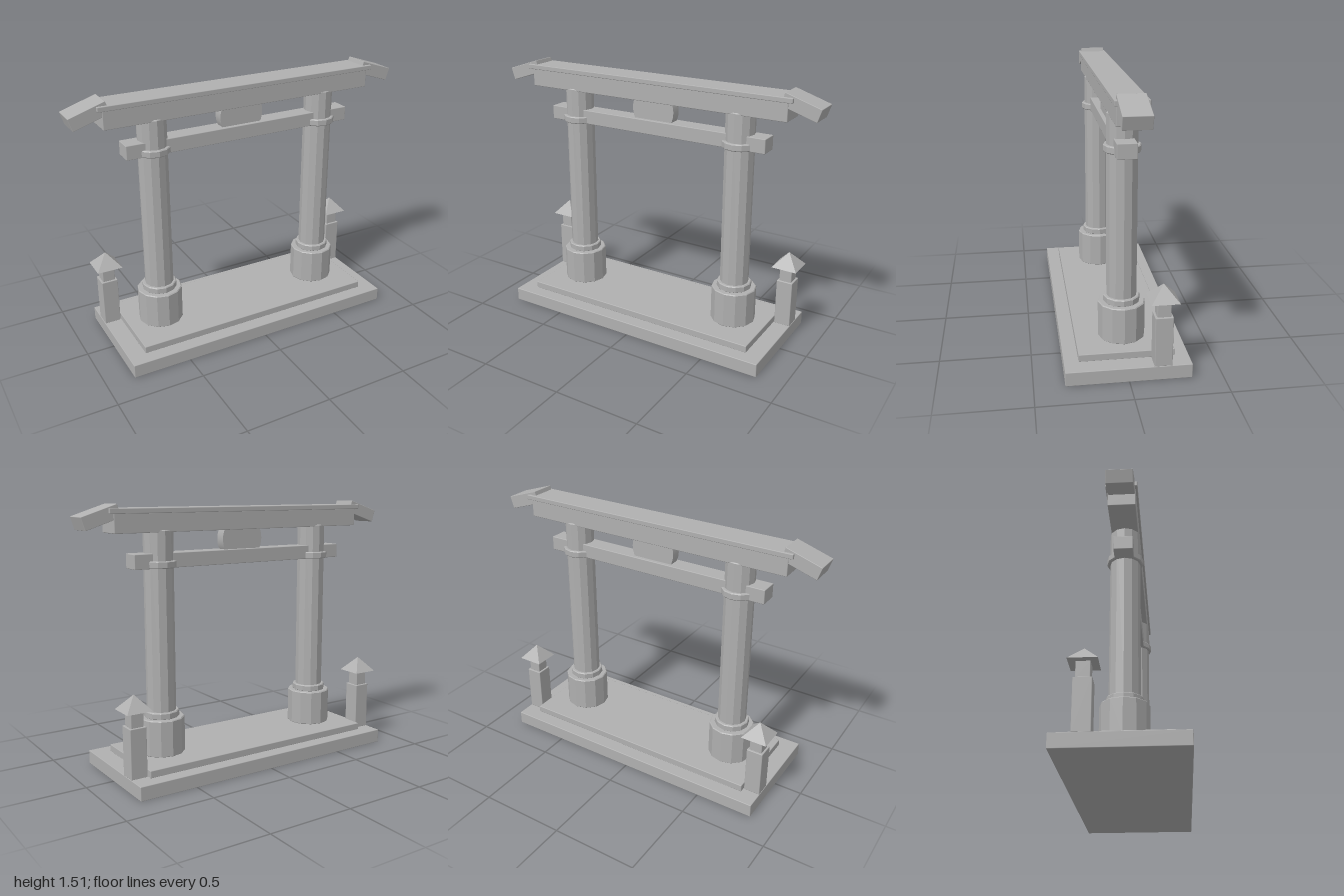
import * as THREE from 'three';
import { RoundedBoxGeometry } from 'three/addons/geometries/RoundedBoxGeometry.js';

export function createModel() {
  const model = new THREE.Group();
  model.name = 'gateway';
  const stone = new THREE.MeshStandardMaterial({ color: 0xb0b0b0 });
  stone.name = 'grey stone';

  const add = (name, geometry, x, y, z, parent = model) => {
    const mesh = new THREE.Mesh(geometry, stone);
    mesh.name = name;
    mesh.position.set(x, y, z);
    parent.add(mesh);
    return mesh;
  };

  // Box with a slight bevel, standing on height y0
  const block = (name, w, y0, y1, d, x = 0, z = 0, parent = model) =>
    add(name, new RoundedBoxGeometry(w, y1 - y0, d, 1, 0.004), x, (y0 + y1) / 2, z, parent);

  // Twelve-sided faceted drum with chamfered rims
  const drum = (name, r, y0, y1, x, parent, c = 0.005) => {
    const profile = [[0, y0], [r - c, y0], [r, y0 + c], [r, y1 - c], [r - c, y1], [0, y1]]
      .map(([px, py]) => new THREE.Vector2(px, py));
    const geometry = new THREE.LatheGeometry(profile, 12).toNonIndexed();
    geometry.computeVertexNormals();
    return add(name, geometry, x, 0, 0, parent);
  };

  // Stepped base
  block('baseSlab', 1.68, 0, 0.08, 0.672);
  block('upperStep', 1.48, 0.078, 0.12, 0.515);

  // Cross beams and roof cap
  block('lowerBeam', 1.405, 1.165, 1.247, 0.106);
  block('upperBeam', 1.645, 1.36, 1.465, 0.15);
  block('roofCap', 1.7, 1.462, 1.49, 0.172);

  // Round plaque held between the beams
  const plaque = new THREE.CylinderGeometry(0.134, 0.134, 0.06, 32);
  plaque.rotateX(Math.PI / 2);
  add('plaque', plaque, 0, 1.305, 0);

  for (const side of [-1, 1]) {
    const label = side > 0 ? 'left' : 'right';

    // Pillar with foot drum and two collars
    const pillar = new THREE.Group();
    pillar.name = label + 'Pillar';
    model.add(pillar);
    const px = side * 0.533;
    drum('foot', 0.13, 0.118, 0.328, px, pillar);
    drum('lowerCollar', 0.1, 0.325, 0.365, px, pillar);
    drum('shaft', 0.083, 0.36, 1.372, px, pillar);
    drum('upperCollar', 0.1, 1.166, 1.206, px, pillar);

    // Drooping roof end
    const end = add(label + 'RoofEnd', new RoundedBoxGeometry(0.21, 0.074, 0.144, 1, 0.003),
      side * 0.89, 1.446, 0);
    end.rotation.z = -side * 0.315;

    // Lantern post with pyramid roof
    const lantern = new THREE.Group();
    lantern.name = label + 'Lantern';
    model.add(lantern);
    const lx = side * 0.79, lz = -0.179;
    block('post', 0.096, 0.078, 0.358, 0.096, lx, lz, lantern);
    block('lampBox', 0.074, 0.355, 0.447, 0.074, lx, lz, lantern);
    const roof = new THREE.ConeGeometry(0.075 * Math.SQRT2, 0.085, 4).toNonIndexed();
    roof.rotateY(Math.PI / 4);
    roof.computeVertexNormals();
    add('lanternRoof', roof, lx, 0.4875, lz, lantern);
  }
  return model;
}
